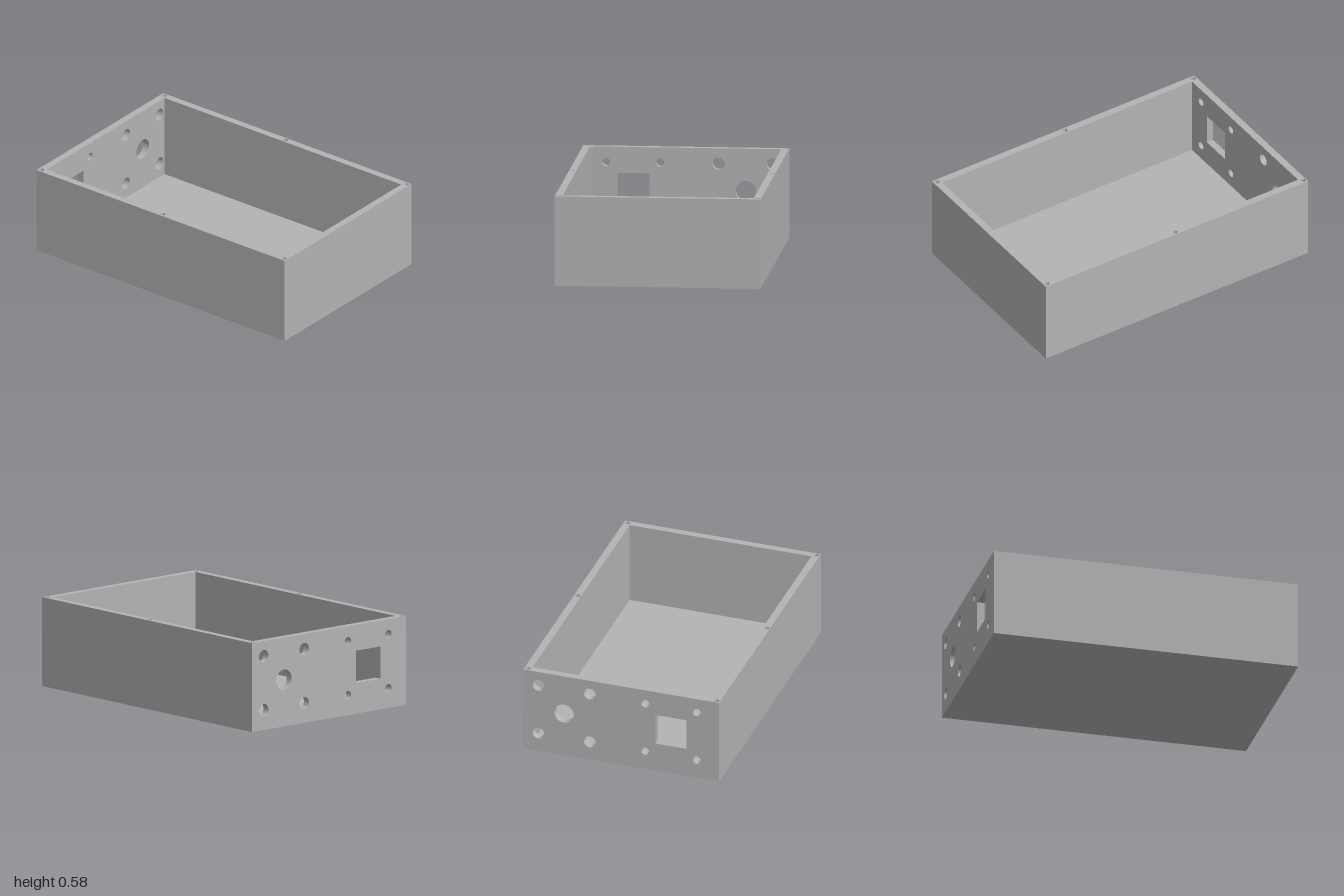
import * as THREE from 'three';
import { toCreasedNormals } from 'three/addons/utils/BufferGeometryUtils.js';

const HX = 0.658, HZ = 1, H = 0.577; // half width, half length, height
const T = 0.047, FLOOR = 0.028;      // wall and floor thickness
const RIM = 0.05;                    // depth of the screw holes
const WALL_TOP = H - RIM;

function rect(x0, y0, x1, y1, Type = THREE.Shape) {
  const s = new Type();
  s.moveTo(x0, y0);
  s.lineTo(x1, y0);
  s.lineTo(x1, y1);
  s.lineTo(x0, y1);
  s.closePath();
  return s;
}

function circle(x, y, r) {
  return new THREE.Path().absarc(x, y, r, 0, Math.PI * 2, true);
}

function extrude(shape, depth) {
  const g = new THREE.ExtrudeGeometry(shape, { depth, bevelEnabled: false, curveSegments: 32 });
  return toCreasedNormals(g, 0.5);
}

export function createModel() {
  const group = new THREE.Group();
  const grey = new THREE.MeshStandardMaterial({ color: 0xb3b3b3 });
  grey.name = 'grey plastic';

  const add = (name, geometry, x, y, z) => {
    const mesh = new THREE.Mesh(geometry, grey);
    mesh.name = name;
    mesh.position.set(x, y, z);
    group.add(mesh);
  };

  // Floor plate
  add('floor', new THREE.BoxGeometry(2 * HX, FLOOR, 2 * HZ), 0, FLOOR / 2, 0);

  // Plain front and side walls
  const wallH = WALL_TOP - FLOOR, wallY = FLOOR + wallH / 2;
  add('frontWall', new THREE.BoxGeometry(2 * HX, wallH, T), 0, wallY, HZ - T / 2);
  for (const [name, s] of [['leftWall', 1], ['rightWall', -1]]) {
    add(name, new THREE.BoxGeometry(T, wallH, 2 * (HZ - T)), s * (HX - T / 2), wallY, 0);
  }

  // Back wall with two groups of connector cut-outs
  const back = rect(-HX, FLOOR, HX, WALL_TOP);
  const midY = 0.304, dx = 0.173, dy = 0.175;
  const roundX = 0.384, squareX = -0.336, half = 0.105;
  back.holes.push(circle(roundX, midY, 0.066));
  back.holes.push(rect(squareX - half, midY - half, squareX + half, midY + half, THREE.Path));
  for (const sx of [-1, 1]) {
    for (const sy of [-1, 1]) {
      back.holes.push(circle(roundX + sx * dx, midY + sy * dy, 0.04));
      back.holes.push(circle(squareX + sx * dx, midY + sy * dy, 0.027));
    }
  }
  add('backWall', extrude(back, T), 0, 0, -HZ);

  // Top rim with six blind screw holes
  const rim = rect(-HX, -HZ, HX, HZ);
  rim.holes.push(rect(-HX + T, -HZ + T, HX - T, HZ - T, THREE.Path));
  for (const sx of [-1, 1]) {
    for (const sz of [-1, 0, 1]) {
      rim.holes.push(circle(sx * (HX - T / 2), sz * (HZ - T / 2), 0.016));
    }
  }
  add('rim', extrude(rim, RIM).rotateX(-Math.PI / 2), 0, WALL_TOP, 0);

  return group;
}
